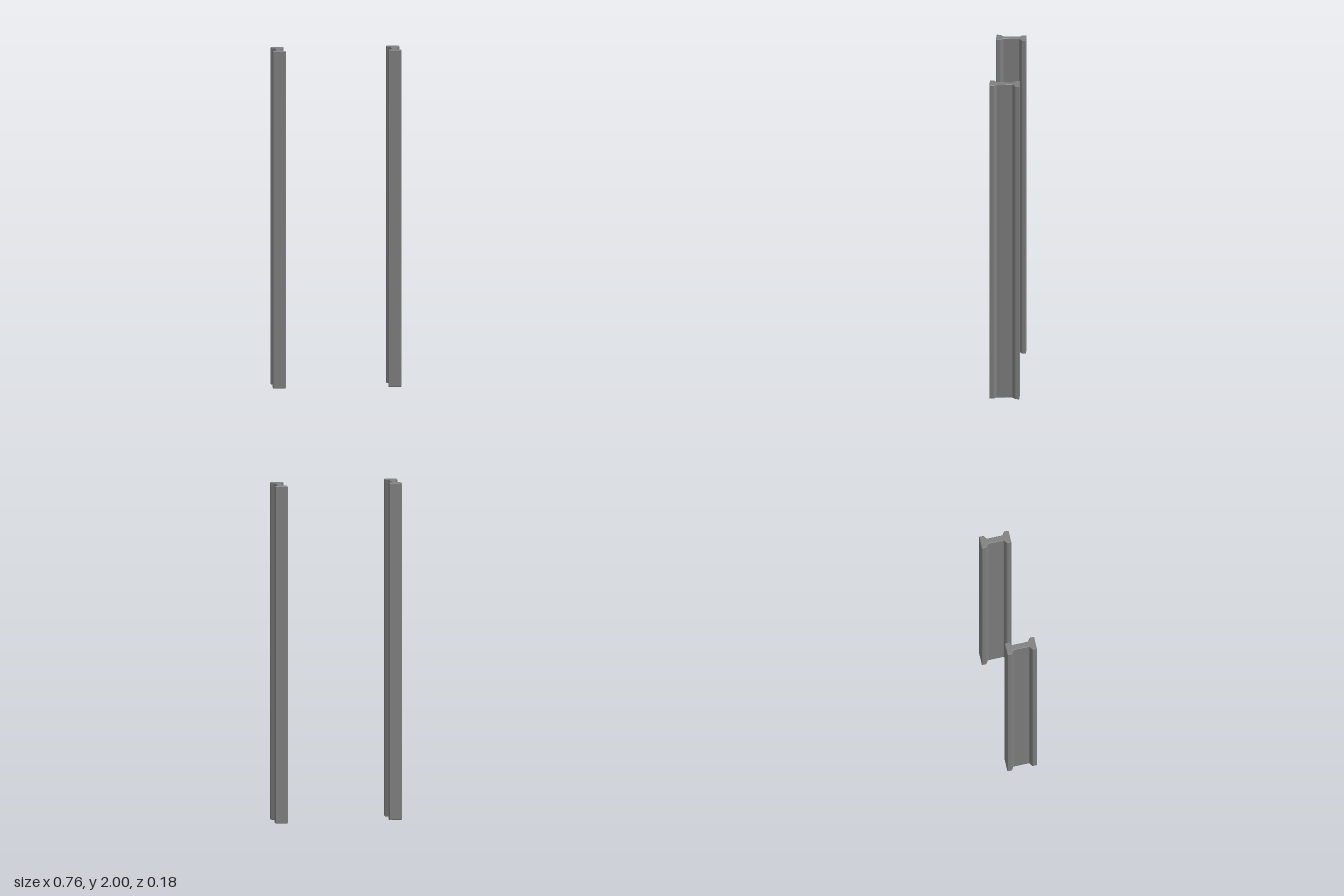
import * as THREE from 'three';

const HEIGHT = 2, SPACING = 0.34, BEVEL = 0.003;

// I-shaped cross-section, mirrored from one quarter (x = width, y = depth)
function beamSection() {
  const quarter = [
    [0.0165, 0.045], [0.0185, 0.049], [0.036, 0.061], [0.038, 0.065],
    [0.038, 0.085], [0.035, 0.0885],
  ];
  const flip = (sx, sy) => quarter.map(([x, y]) => new THREE.Vector2(x * sx, y * sy));
  return new THREE.Shape([
    ...flip(1, 1), ...flip(-1, 1).reverse(),
    ...flip(-1, -1), ...flip(1, -1).reverse(),
  ]);
}

export function createModel() {
  const group = new THREE.Group();
  group.name = 'beamPair';
  const material = new THREE.MeshStandardMaterial({ color: 0x7f7f7f, flatShading: true });

  // Upright beam with slightly broken end edges
  const geometry = new THREE.ExtrudeGeometry(beamSection(), {
    depth: HEIGHT - 2 * BEVEL,
    bevelEnabled: true, bevelThickness: BEVEL, bevelSize: BEVEL,
    bevelOffset: -BEVEL, bevelSegments: 1,
  });
  geometry.translate(0, 0, BEVEL).rotateX(-Math.PI / 2);

  for (const [name, side] of [['leftBeam', 1], ['rightBeam', -1]]) {
    const beam = new THREE.Mesh(geometry, material);
    beam.name = name;
    beam.position.x = side * SPACING;
    group.add(beam);
  }
  return group;
}
